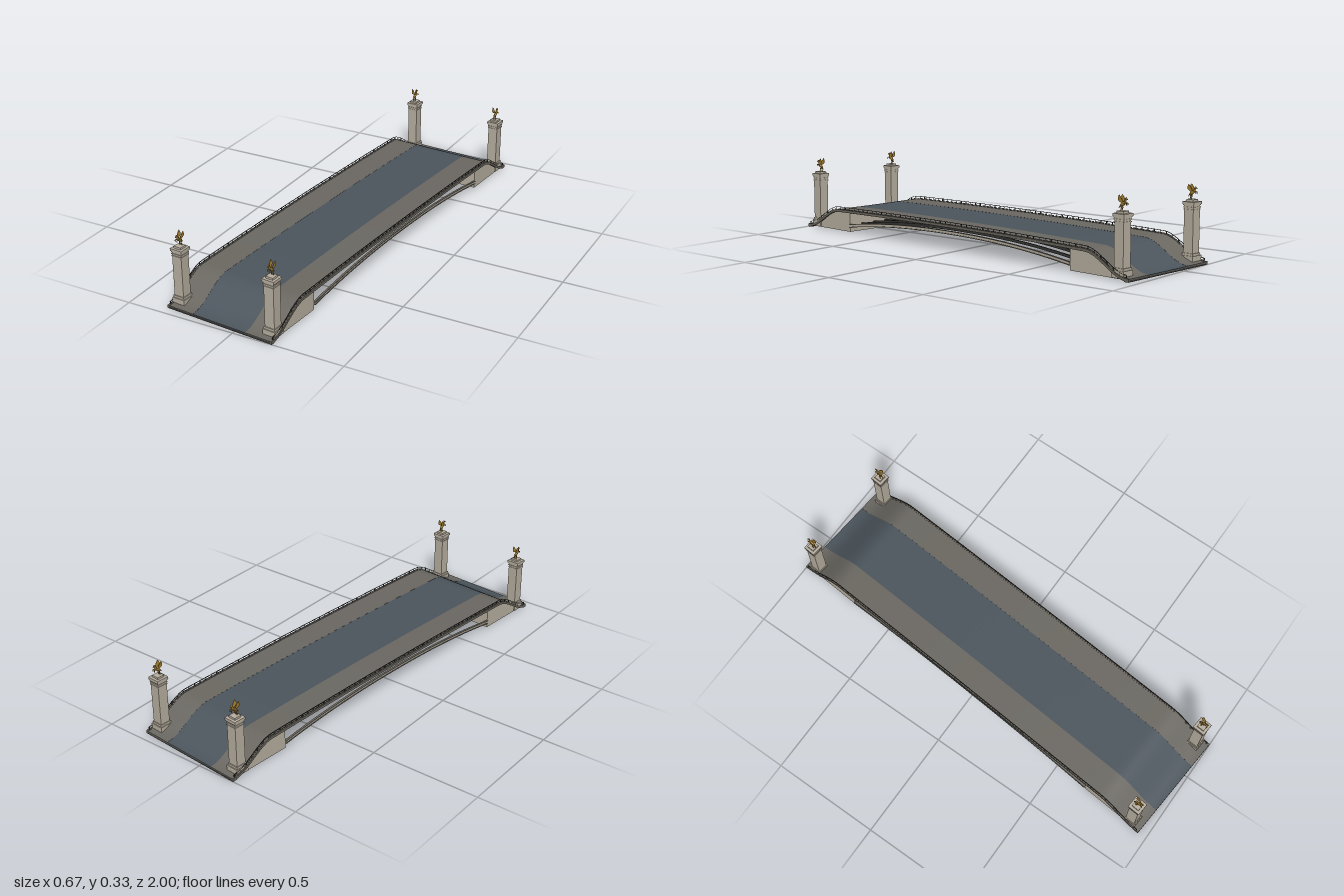
import * as THREE from 'three';
import { toCreasedNormals } from 'three/addons/utils/BufferGeometryUtils.js';

const mat = (color) => {
  const m = new THREE.MeshStandardMaterial();
  m.color.set(color);
  return m;
};
const STONE = mat(0xb8afa0), WALK = mat(0x6b6862), ROAD = mat(0x4c555d);
const DARK = mat(0x353432), EDGE = mat(0x69655c), GOLD = mat(0xa8812f);

const HALF = 0.983, WIDE = 0.26, ABUT = 0.68;

// Height of the road surface along the bridge
function deckY(z) {
  const a = Math.abs(z);
  if (a <= 0.76) return 0.104 + 0.008 * (1 - (a / 0.76) ** 2);
  return 0.012 + 0.092 * (1 - THREE.MathUtils.smoothstep(a, 0.76, 0.975));
}
const archY = (z) => 0.03 + 0.045 * (1 - Math.abs(z / ABUT) ** 2.2);

function add(parent, name, geo, material, x = 0, y = 0, z = 0) {
  const m = new THREE.Mesh(geo, material);
  m.name = name;
  m.position.set(x, y, z);
  parent.add(m);
  return m;
}

// Solid between two height curves from z0 to z1, spanning x0 to x1
function band(parent, name, material, x0, x1, z0, z1, bottom, top, n = 90) {
  const pts = [];
  for (let i = 0; i <= n; i++) {
    const z = z0 + ((z1 - z0) * i) / n;
    pts.push(new THREE.Vector2(z, bottom(z)));
  }
  for (let i = n; i >= 0; i--) {
    const z = z0 + ((z1 - z0) * i) / n;
    pts.push(new THREE.Vector2(z, top(z)));
  }
  const geo = new THREE.ExtrudeGeometry(new THREE.Shape(pts), { depth: x1 - x0, bevelEnabled: false });
  geo.rotateY(-Math.PI / 2);
  geo.translate(x1, 0, 0);
  return add(parent, name, toCreasedNormals(geo, 0.5), material);
}

function rod(parent, name, a, b, r0, r1, material) {
  const va = new THREE.Vector3(...a), vb = new THREE.Vector3(...b);
  const d = vb.clone().sub(va);
  const m = add(parent, name, new THREE.CylinderGeometry(r1, r0, d.length(), 8), material);
  m.position.copy(va).addScaledVector(d, 0.5);
  m.quaternion.setFromUnitVectors(new THREE.Vector3(0, 1, 0), d.normalize());
}

// Rearing winged horse, facing +z, standing on y = 0
function horse() {
  const g = new THREE.Group();
  g.name = 'wingedHorse';
  const body = add(g, 'body', new THREE.SphereGeometry(1, 14, 10), GOLD, 0, 0.027, 0);
  body.scale.set(0.006, 0.0075, 0.015);
  body.rotation.x = -0.6;
  rod(g, 'neck', [0, 0.032, 0.008], [0, 0.05, 0.015], 0.005, 0.003, GOLD);
  rod(g, 'head', [0, 0.051, 0.013], [0, 0.045, 0.023], 0.0035, 0.002, GOLD);
  rod(g, 'tail', [0, 0.021, -0.012], [0, 0.009, -0.02], 0.0025, 0.001, GOLD);
  const wing = new THREE.Shape();
  wing.moveTo(0.006, 0.03);
  wing.quadraticCurveTo(0.004, 0.05, -0.012, 0.063);
  wing.quadraticCurveTo(-0.02, 0.05, -0.018, 0.042);
  wing.quadraticCurveTo(-0.01, 0.032, 0.006, 0.03);
  const wingGeo = new THREE.ExtrudeGeometry(wing, { depth: 0.0018, bevelEnabled: false });
  wingGeo.rotateY(-Math.PI / 2);
  for (const s of [-1, 1]) {
    rod(g, 'hindThigh', [s * 0.0035, 0.022, -0.008], [s * 0.0045, 0.011, -0.004], 0.0035, 0.002, GOLD);
    rod(g, 'hindShin', [s * 0.0045, 0.012, -0.004], [s * 0.0045, 0, -0.008], 0.002, 0.0018, GOLD);
    rod(g, 'foreleg', [s * 0.0035, 0.032, 0.01], [s * 0.0045, 0.031, 0.021], 0.0025, 0.0016, GOLD);
    rod(g, 'forehoof', [s * 0.0045, 0.031, 0.021], [s * 0.0045, 0.023, 0.02], 0.0016, 0.0014, GOLD);
    const w = add(g, 'wing', wingGeo, GOLD, s * 0.004 + 0.0009, 0, 0);
    w.rotation.z = -s * 0.1;
  }
  return g;
}

// Square pillar: [width, bottom, top] for every course
function pillar() {
  const g = new THREE.Group();
  g.name = 'pillar';
  const courses = [
    ['footing', 0.06, 0.008, 0.038], ['baseStep', 0.053, 0.038, 0.048], ['shaft', 0.046, 0.048, 0.25],
    ['lowerBand', 0.05, 0.226, 0.23], ['upperBand', 0.051, 0.236, 0.24], ['capStep', 0.052, 0.245, 0.25],
    ['cap', 0.057, 0.25, 0.261], ['plinth', 0.034, 0.261, 0.27],
  ];
  for (const [name, w, y0, y1] of courses)
    add(g, name, new THREE.BoxGeometry(w, y1 - y0, w), STONE, 0, (y0 + y1) / 2, 0);
  const h = horse();
  h.position.y = 0.27;
  g.add(h);
  return g;
}

export function createModel() {
  const root = new THREE.Group();
  const bridge = new THREE.Group();
  bridge.name = 'bridge';
  bridge.rotation.y = -0.079;
  root.add(bridge);

  // Deck, roadway and walkways
  const under = (d) => (z) => Math.max(0, deckY(z) - d);
  const over = (d) => (z) => deckY(z) + d;
  band(bridge, 'deckSlab', DARK, -0.252, 0.252, -HALF, HALF, under(0.012), over(-0.003));
  band(bridge, 'roadway', ROAD, -0.13, 0.13, -HALF, HALF, over(-0.003), over(0));
  for (const s of [-1, 1]) {
    const span = (a, b) => (s > 0 ? [a, b] : [-b, -a]);
    band(bridge, 'walkway', WALK, ...span(0.13, 0.25), -HALF, HALF, over(-0.003), over(0.0005));
    band(bridge, 'fascia', EDGE, ...span(0.25, WIDE), -HALF, HALF, under(0.01), over(0.002));

    // Railing
    band(bridge, 'topRail', DARK, ...span(0.2535, 0.2565), -0.97, 0.97, over(0.0125), over(0.0145));
    band(bridge, 'bottomRail', DARK, ...span(0.254, 0.256), -0.97, 0.97, over(0.004), over(0.005));
    for (let i = 0; i <= 60; i++) {
      const z = -0.97 + (1.94 * i) / 60;
      const w = i % 4 === 0 ? 0.004 : 0.002;
      add(bridge, 'railPost', new THREE.BoxGeometry(w, 0.014, w), DARK, s * 0.255, deckY(z) + 0.007, z);
    }

    // Outer arch: pale web between two flanges
    const lift = (d) => (z) => archY(z) + d;
    band(bridge, 'archWeb', STONE, ...span(0.25, 0.255), -ABUT, ABUT, lift(0), lift(0.009), 48);
    band(bridge, 'archLowerFlange', EDGE, ...span(0.248, 0.258), -ABUT, ABUT, lift(-0.003), lift(0), 48);
    band(bridge, 'archUpperFlange', EDGE, ...span(0.248, 0.258), -ABUT, ABUT, lift(0.009), lift(0.012), 48);

    // Inner ribs
    for (let k = 0; k < 3; k++) {
      const x = 0.036 + 0.072 * k;
      band(bridge, 'innerRib', DARK, ...span(x - 0.003, x + 0.003), -ABUT, ABUT, lift(0), lift(0.012), 48);
    }

    // Abutment, end sill and pillars at this end
    const [z0, z1] = span(ABUT, 0.955);
    band(bridge, 'abutment', STONE, -0.252, 0.252, z0, z1, () => 0.006, (z) => Math.max(0.007, deckY(z) - 0.005), 30);
    add(bridge, 'endSill', new THREE.BoxGeometry(2 * WIDE, 0.01, 0.02), EDGE, 0, 0.005, s * (HALF - 0.01));
    for (const side of [-1, 1]) {
      const p = pillar();
      p.position.set(side * 0.226, 0, s * 0.925);
      if (s < 0) p.rotation.y = Math.PI;
      bridge.add(p);
    }
  }
  return root;
}
